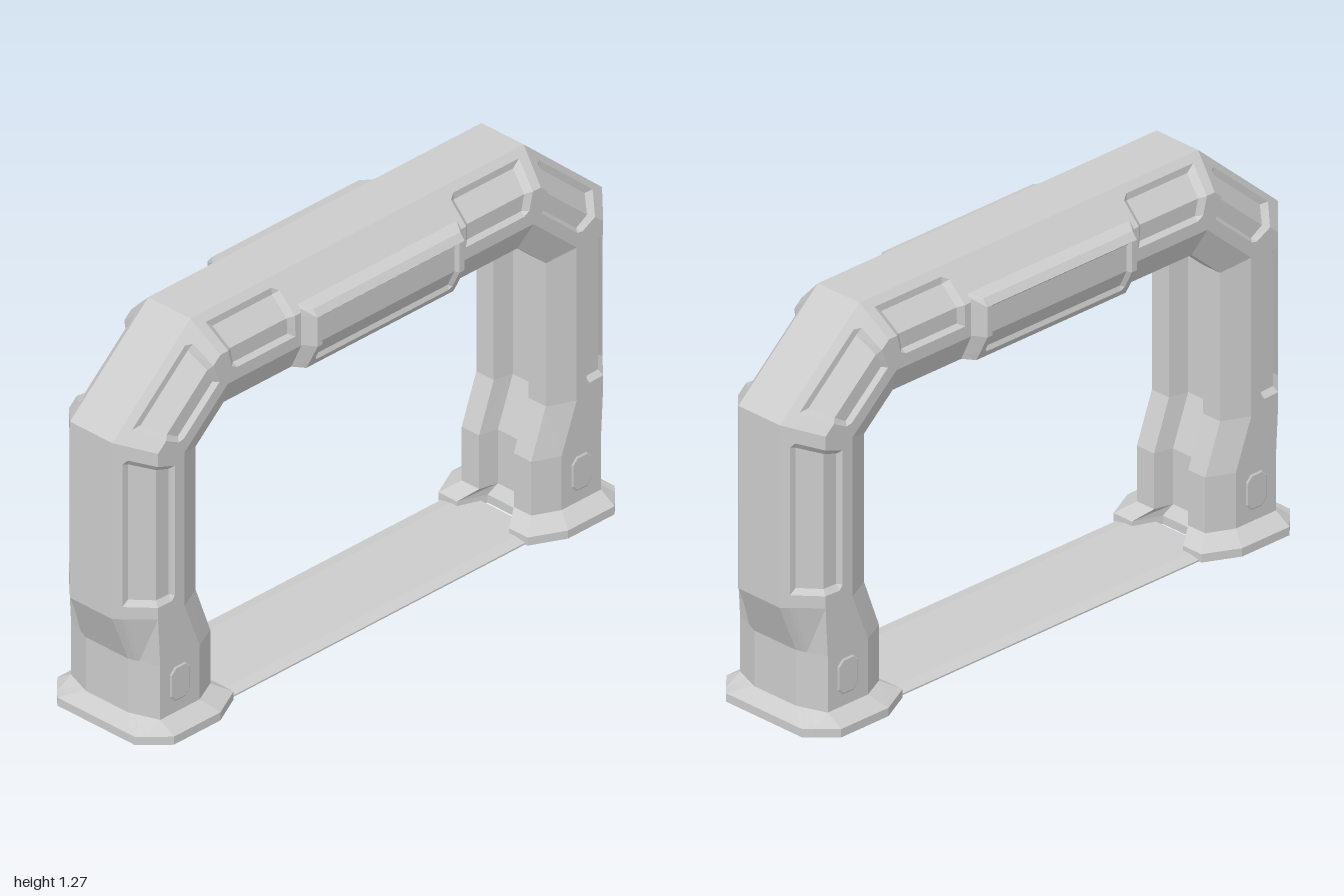
import * as THREE from 'three';

const material = new THREE.MeshStandardMaterial({ color: 0xcccccc, flatShading: true, side: THREE.DoubleSide });

// Faceted surface through rows of [x, y, z] points, mirrored over x and z
function mirroredGrid(name, rows) {
  const pos = [];
  for (const sx of [1, -1]) for (const sz of [1, -1]) {
    const put = (p) => pos.push(p[0] * sx, p[1], p[2] * sz);
    const tri = (a, b, c) => (sx * sz > 0 ? [a, b, c] : [a, c, b]).forEach(put);
    for (let t = 0; t + 1 < rows.length; t++) {
      for (let s = 0; s + 1 < rows[t].length; s++) {
        const a = rows[t][s], b = rows[t][s + 1], c = rows[t + 1][s + 1], d = rows[t + 1][s];
        tri(a, b, c);
        tri(a, c, d);
      }
    }
  }
  const geometry = new THREE.BufferGeometry();
  geometry.setAttribute('position', new THREE.Float32BufferAttribute(pos, 3));
  geometry.computeVertexNormals();
  const mesh = new THREE.Mesh(geometry, material);
  mesh.name = name;
  return mesh;
}

// Half cross-section from outer face to inner groove:
// [depth fraction, x, recess shift in x, recess shift in depth]
const CHAMFER = 0.32, RECESS = 0.015;
const PROFILE = [
  [0, 0, 0, 0], [0, 0.085, 0, 0], [0.07, 0.106, 0, 0], [0.11, 0.118, 0.7, 0.7],
  [CHAMFER, 0.18, 1, 0.41], [0.52, 0.18, 1, 0], [0.56, 0.18, 0, 0], [0.7, 0.18, 0, 0],
  [1, 0.14, 0, 0], [1, 0.07, 0, 0], [0.78, 0.055, 0, 0], [0.78, 0, 0, 0],
];

// A station holds the outer and inner path points as z, y
const station = (oz, oy, iz, iy, chamfer = CHAMFER) => ({ v: [oz, oy, iz, iy], chamfer });

function section({ v: [oz, oy, iz, iy], chamfer }, recess = 0) {
  return PROFILE.map(([w, x, rx, rw], k) => {
    const f = (k <= 4 ? w * chamfer / CHAMFER : w) + rw * recess / 0.29;
    return [x - rx * recess, oy + (iy - oy) * f, oz + (iz - oz) * f];
  });
}

// Stretch between two stations with a recessed panel from t0 to t1
function panelRows(a, b, t0, t1, bevel) {
  const at = (t, recess) => section(station(...a.v.map((n, i) => n + (b.v[i] - n) * t)), recess);
  return [at(0, 0), at(t0, 0), at(t0 + bevel, RECESS), at(t1 - bevel, RECESS), at(t1, 0), at(1, 0)];
}

export function createModel() {
  const model = new THREE.Group();
  model.name = 'archGate';

  const ankle = station(0.935, 0.06, 0.655, 0.06, 0.125);
  const shin = station(0.935, 0.24, 0.655, 0.24, 0.125);
  const knee = station(1, 0.4, 0.715, 0.4);
  const shoulder = station(1, 0.99, 0.715, 0.88);
  const corner = station(0.68, 1.27, 0.6, 0.98);
  const beamCut = station(0.33, 1.27, 0.33, 0.98);
  const middle = station(0, 1.27, 0, 0.98);

  // Legs, corners and beam
  model.add(mirroredGrid('legFoot', [section(ankle), section(shin), section(knee)]));
  model.add(mirroredGrid('legPanels', panelRows(knee, shoulder, 0.07, 0.92, 0.03)));
  model.add(mirroredGrid('cornerPanels', panelRows(shoulder, corner, 0.13, 0.89, 0.05)));
  model.add(mirroredGrid('beamPanels', panelRows(corner, beamCut, 0.1, 0.94, 0.06)));
  model.add(mirroredGrid('beamMiddle', [section(beamCut), section(middle)]));

  // Flared base skirts: [x, z] outline of the rim, matched to the leg section
  const top = section(ankle);
  const rim = [
    [0, 0.98], [0.155, 0.98], [0.172, 0.965], [0.182, 0.955], [0.235, 0.9], [0.235, 0.82],
    [0.235, 0.79], [0.235, 0.71], [0.18, 0.6], [0.105, 0.6], [0.07, 0.69], [0, 0.69],
  ];
  const rimAt = (y) => rim.map(([x, z]) => [x, y, z]);
  model.add(mirroredGrid('baseSkirts', [rimAt(0), rimAt(0.027), top]));

  // Raised beam covers: [y, x on the beam, raised x, recess in x, recess in y]
  const cover = [
    [1.2, 0.165, 0.165, 0, 0], [1.19, 0.178, 0.205, 0, 0], [1.168, 0.18, 0.222, 0, 0],
    [1.158, 0.18, 0.222, 0.011, 0], [1.07, 0.18, 0.222, 0.011, 0.004], [1.012, 0.153, 0.193, 0.01, 0.005],
    [1.002, 0.149, 0.188, 0, 0], [0.98, 0.14, 0.176, 0, 0], [0.978, 0.13, 0.13, 0, 0],
  ];
  const coverRow = (z, lift, recess) => cover.map(([y, x0, x1, rx, ry]) =>
    [x0 + (x1 - x0) * lift - rx * recess, y + ry * recess, z]);
  model.add(mirroredGrid('beamCovers', [
    coverRow(0.325, 0, 0), coverRow(0.3, 1, 0), coverRow(0.28, 1, 0), coverRow(0.27, 1, 1), coverRow(0, 1, 1),
  ]));

  // Floor strip between the bases
  const stripShape = new THREE.Shape([
    [-0.17, 0], [0.17, 0], [0.17, 0.005], [0.13, 0.012], [-0.13, 0.012], [-0.17, 0.005],
  ].map(([x, y]) => new THREE.Vector2(x, y)));
  const stripGeometry = new THREE.ExtrudeGeometry(stripShape, { depth: 1.34, bevelEnabled: false });
  stripGeometry.translate(0, 0, -0.67);
  const strip = new THREE.Mesh(stripGeometry, material);
  strip.name = 'floorStrip';
  model.add(strip);

  // Small octagonal plates on the sides of each foot
  const w = 0.036, h = 0.052, c = 0.017;
  const plateShape = new THREE.Shape([
    [-w + c, -h], [w - c, -h], [w, -h + c], [w, h - c], [w - c, h], [-w + c, h], [-w, h - c], [-w, -h + c],
  ].map(([x, y]) => new THREE.Vector2(x, y)));
  const plateGeometry = new THREE.ExtrudeGeometry(plateShape, {
    depth: 0.002, bevelThickness: 0.003, bevelSize: 0.005, bevelSegments: 1,
  });
  for (const sx of [1, -1]) for (const sz of [1, -1]) {
    const plate = new THREE.Mesh(plateGeometry, material);
    plate.name = 'footPlate';
    plate.position.set(sx * 0.179, 0.155, sz * 0.82);
    plate.rotation.y = sx * Math.PI / 2;
    model.add(plate);
  }
  return model;
}
